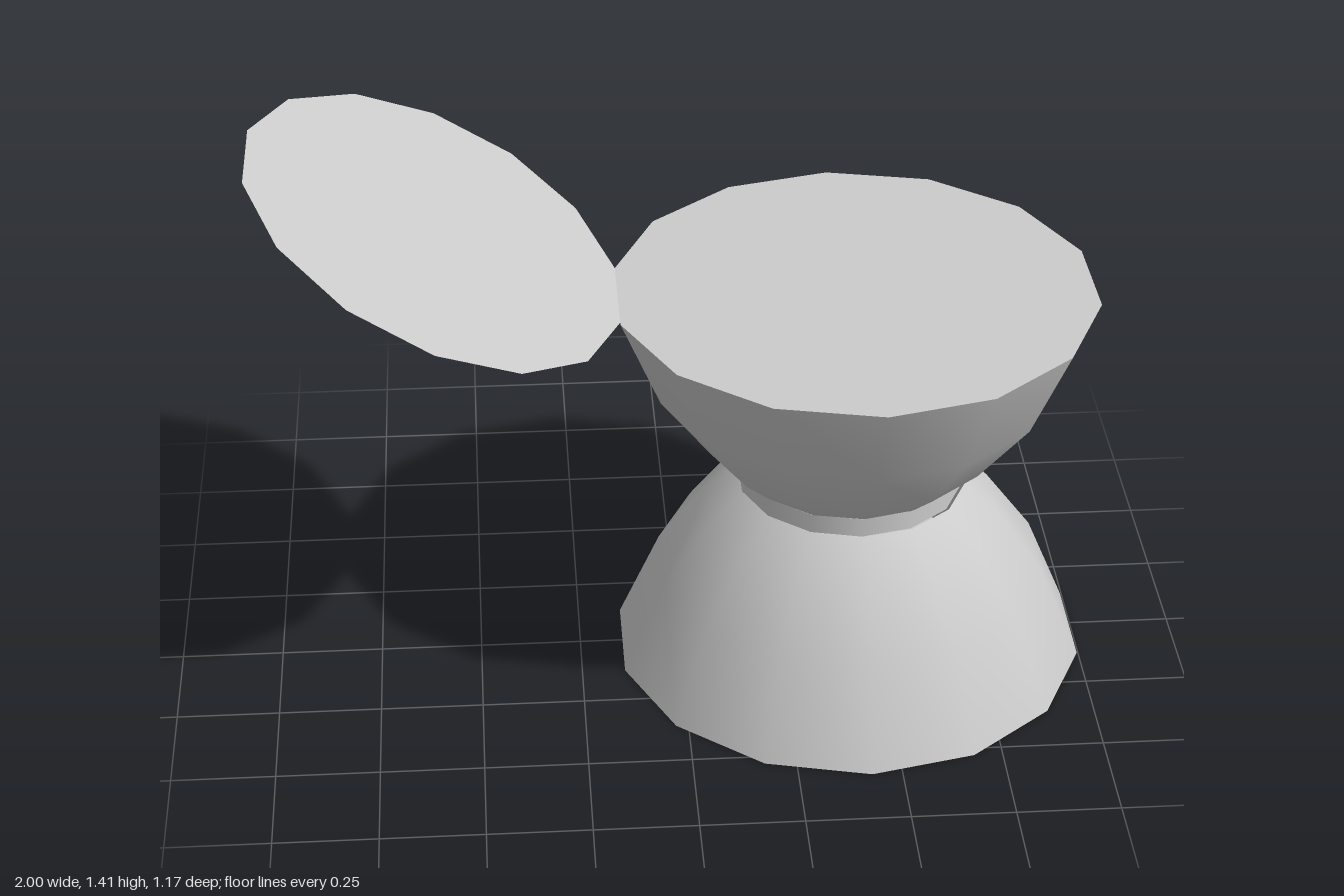
import * as THREE from 'three';

const SIDES = 14;
const RADIUS = 0.585;
const HEIGHT = 1.01;
const material = new THREE.MeshStandardMaterial({ color: 0xcccccc, side: THREE.DoubleSide });

function add(group, name, geometry, x, y = 0) {
  const mesh = new THREE.Mesh(geometry, material);
  mesh.name = name;
  mesh.position.set(x, y, 0);
  group.add(mesh);
}

// Smooth 14-sided shell from [radius, height] pairs, listed bottom to top
function shell(profile, turn = 0) {
  const points = profile.map(([r, y]) => new THREE.Vector2(r, y));
  return new THREE.LatheGeometry(points, SIDES, turn);
}

// Flat 14-sided disc with corners on the z axis
function disc(turn = 0) {
  return new THREE.CircleGeometry(RADIUS, SIDES, Math.PI / 2).rotateX(-Math.PI / 2).rotateY(turn);
}

export function createModel() {
  const model = new THREE.Group();
  model.name = 'hourglassContainer';
  const turn = 0.017;

  // Domed foot, closed underneath
  add(model, 'base', shell([[RADIUS, 0], [0.483, 0.24], [0.36, 0.41], [0.28, 0.48]]), 0.427);
  add(model, 'baseBottom', disc().rotateX(Math.PI), 0.427);

  // Narrow waist
  add(model, 'neck', shell([[0.278, 0.48], [0.278, 0.53]]), 0.422);

  // Upper bowl, filled to the rim
  add(model, 'bowl', shell([[0.278, 0.53], [0.355, 0.6], [0.487, 0.775], [RADIUS, HEIGHT]], turn), 0.422);
  add(model, 'bowlTop', disc(turn), 0.422, HEIGHT);

  // Thin open lid, narrowed in x and rising away from the hinge edge
  const lid = disc().scale(0.748, 1, 1);
  const p = lid.attributes.position;
  for (let i = 0; i < p.count; i++) p.setY(i, (0.427 - p.getX(i)) * 0.469);
  lid.computeVertexNormals();
  add(model, 'lid', lid, -0.573, HEIGHT);

  return model;
}
